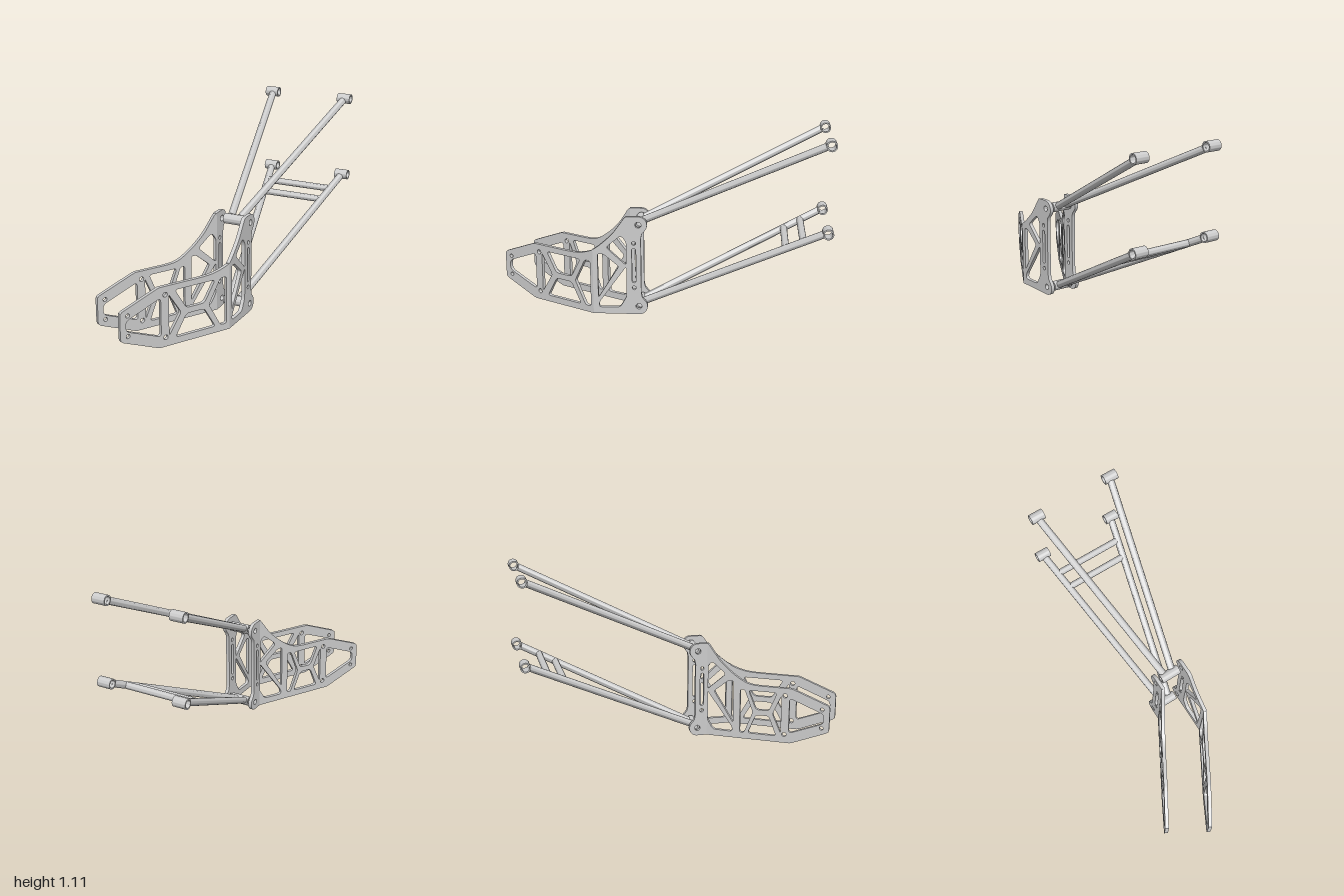
import * as THREE from 'three';
import { toCreasedNormals } from 'three/addons/utils/BufferGeometryUtils.js';

const V2 = (x, y) => new THREE.Vector2(x, y);
const V3 = (x, y, z) => new THREE.Vector3(x, y, z);
const grey = new THREE.MeshStandardMaterial({ color: 0xcccccc });
const AXIS = V3(0.5, 0, 0.866).normalize(); // hinge axis shared by all pivots
const THICK = 0.022;
const BEND = -0.305; // where the wing starts on the unshifted plate

function addMesh(parent, geometry, name) {
  const mesh = new THREE.Mesh(toCreasedNormals(geometry, 0.6), grey);
  mesh.name = name;
  parent.add(mesh);
  return mesh;
}

// Cylinder or sleeve geometry aligned from its centre along a direction
function orient(mesh, centre, dir) {
  mesh.position.copy(centre);
  mesh.quaternion.setFromUnitVectors(V3(0, 1, 0), dir);
}

function rod(parent, a, b, radius, name) {
  const d = b.clone().sub(a);
  const mesh = addMesh(parent, new THREE.CylinderGeometry(radius, radius, d.length(), 32), name);
  orient(mesh, a.clone().add(b).multiplyScalar(0.5), d.normalize());
}

function sleeve(parent, centre, length, outer, inner, name) {
  const h = length / 2;
  const profile = [V2(inner, -h), V2(outer, -h), V2(outer, h), V2(inner, h), V2(inner, -h)];
  orient(addMesh(parent, new THREE.LatheGeometry(profile, 36), name), centre, AXIS);
}

// Polygon with rounded corners
function rounded(points, r) {
  const path = new THREE.Path();
  points.forEach((p, i) => {
    const prev = points[(i + points.length - 1) % points.length];
    const next = points[(i + 1) % points.length];
    const toward = (q) => p.clone().lerp(q, Math.min(0.45, r / p.distanceTo(q)));
    const a = toward(prev), b = toward(next);
    if (i === 0) path.moveTo(a.x, a.y); else path.lineTo(a.x, a.y);
    path.quadraticCurveTo(p.x, p.y, b.x, b.y);
  });
  path.closePath();
  return path.getPoints(6);
}

function circle(x, y, r, from = 0, to = 360, n = 24) {
  return Array.from({ length: n + 1 }, (_, i) => {
    const a = THREE.MathUtils.degToRad(from + (to - from) * i / n);
    return V2(x + r * Math.cos(a), y + r * Math.sin(a));
  });
}

// Keep the part of an outline on one side of a vertical line
function clip(points, x, side) {
  const out = [];
  points.forEach((p, i) => {
    const q = points[(i + 1) % points.length];
    const inP = (p.x - x) * side >= 0, inQ = (q.x - x) * side >= 0;
    if (inP) out.push(p);
    if (inP !== inQ) out.push(p.clone().lerp(q, (x - p.x) / (q.x - p.x)));
  });
  return out;
}

// Side plate: unfolded outline with windows, split and folded at bendX
function sidePlate(name, bendX, z, shift) {
  const group = new THREE.Group();
  group.name = name;
  const mapX = (s) => s < -0.7 ? s : s < BEND ? -0.7 + (s + 0.7) * (1 + shift / 0.395) : s + shift;
  const w = (u) => BEND + u + shift;              // distance along the wing
  const flat = (list) => list.map(([x, y]) => V2(mapX(x), y));
  const wing = (list) => list.map(([u, y]) => V2(w(u), y));

  const sweep = new THREE.SplineCurve([
    ...wing([[0.187, 0.592], [0.15, 0.54], [0.115, 0.495], [0.06, 0.443], [0.002, 0.4]]),
    ...flat([[-0.375, 0.372], [-0.44, 0.36], [-0.52, 0.357]]),
  ]).getPoints(32);
  const outline = [
    V2(-0.757, 0),
    ...circle(w(0.274), 0.05, 0.05, -90, 40, 14),
    ...wing([[0.293, 0.105], [0.287, 0.135], [0.287, 0.47], [0.293, 0.5]]),
    ...circle(w(0.274), 0.555, 0.05, -40, 90, 14),
    ...wing([[0.21, 0.605], [0.197, 0.602]]),
    ...sweep,
    ...[[-0.757, 0.357], [-0.775, 0.352], [-0.985, 0.27], [-0.997, 0.26], [-1, 0.245],
      [-1, 0.115], [-0.997, 0.1], [-0.985, 0.09], [-0.775, 0.005]].map(([x, y]) => V2(x, y)),
  ];

  // Windows leave a tapered nose frame, a braced centre and a triangulated wing
  const holes = [
    rounded(flat([[-0.965, 0.21], [-0.75, 0.295], [-0.75, 0.065], [-0.965, 0.15]]), 0.025),
    rounded(flat([[-0.66, 0.322], [-0.4, 0.322], [-0.472, 0.2], [-0.588, 0.2]]), 0.02),
    rounded(flat([[-0.66, 0.04], [-0.4, 0.04], [-0.472, 0.165], [-0.588, 0.165]]), 0.02),
    rounded(flat([[-0.7, 0.305], [-0.7, 0.06], [-0.622, 0.182]]), 0.015),
    rounded(flat([[-0.325, 0.325], [-0.365, 0.325], [-0.442, 0.182], [-0.365, 0.04], [-0.325, 0.04]]), 0.015),
    rounded(wing([[0.03, 0.375], [0.062, 0.375], [0.185, 0.3], [0.03, 0.1]].map(([u, y], i) =>
      i === 2 ? [0.155, 0.298] : [u, y])), 0.015),
    rounded(wing([[0.17, 0.49], [0.2, 0.45], [0.2, 0.305], [0.08, 0.415]]), 0.02),
    rounded(wing([[0.2, 0.3], [0.2, 0.11], [0.16, 0.042], [0.035, 0.04], [0.035, 0.07]]), 0.02),
    [...circle(w(0.245), 0.4, 0.012, 0, 180, 12), ...circle(w(0.245), 0.21, 0.012, 180, 360, 12)],
    ...[0.166, 0.443].map((y) => circle(w(0.245), y, 0.012)),
    ...[0.05, 0.555].map((y) => circle(w(0.272), y, 0.018)),
    ...[0.12, 0.24].map((y) => circle(-0.953, y, 0.012)),
    ...[0.055, 0.308].map((y) => circle(mapX(-0.722), y, 0.014)),
  ];

  for (const side of [-1, 1]) {
    const shape = new THREE.Shape(clip(outline, bendX, side));
    shape.holes = holes.filter((h) => (h[0].x - bendX) * side > 0).map((h) => new THREE.Path(h));
    const geo = new THREE.ExtrudeGeometry(shape, { depth: THICK, bevelEnabled: false });
    geo.translate(-bendX, 0, -THICK);
    const mesh = addMesh(group, geo, side < 0 ? 'platePanel' : 'plateWing');
    mesh.position.set(bendX, 0, z);
    if (side > 0) mesh.rotation.y = Math.PI / 6;
  }
  return group;
}

// Forked control arm: hinge sleeve, two tubes, end bushings, optional cross tubes
function controlArm(name, rootY, tipY, braced) {
  const group = new THREE.Group();
  group.name = name;
  const root = V3(-0.117, rootY, 0.29);
  sleeve(group, root, 0.125, 0.03, 0.018, 'hingeSleeve');
  const tubes = [[-0.028, V3(0.697, tipY, -0.467)], [0.022, V3(0.948, tipY, -0.035)]]
    .map(([offset, tip]) => [root.clone().addScaledVector(AXIS, offset), tip]);
  for (const [start, tip] of tubes) {
    const step = tip.clone().sub(start).normalize().multiplyScalar(0.025);
    rod(group, start.clone().add(step), tip.clone().sub(step), 0.022, 'armTube');
    sleeve(group, tip, 0.085, 0.031, 0.023, 'endBushing');
  }
  if (braced) {
    for (const t of [0.785, 0.875]) {
      const [a, b] = tubes.map(([start, tip]) => start.clone().lerp(tip, t));
      rod(group, a, b, 0.021, 'crossTube');
    }
  }
  return group;
}

export function createModel() {
  const model = new THREE.Group();
  model.name = 'suspensionAssembly';
  model.add(
    sidePlate('frontPlate', BEND, 0.518, 0),
    sidePlate('backPlate', -0.22, 0.256, -0.12),
    controlArm('lowerArm', 0.048, 0.577, true),
    controlArm('upperArm', 0.556, 1.082, false),
  );
  return model;
}
